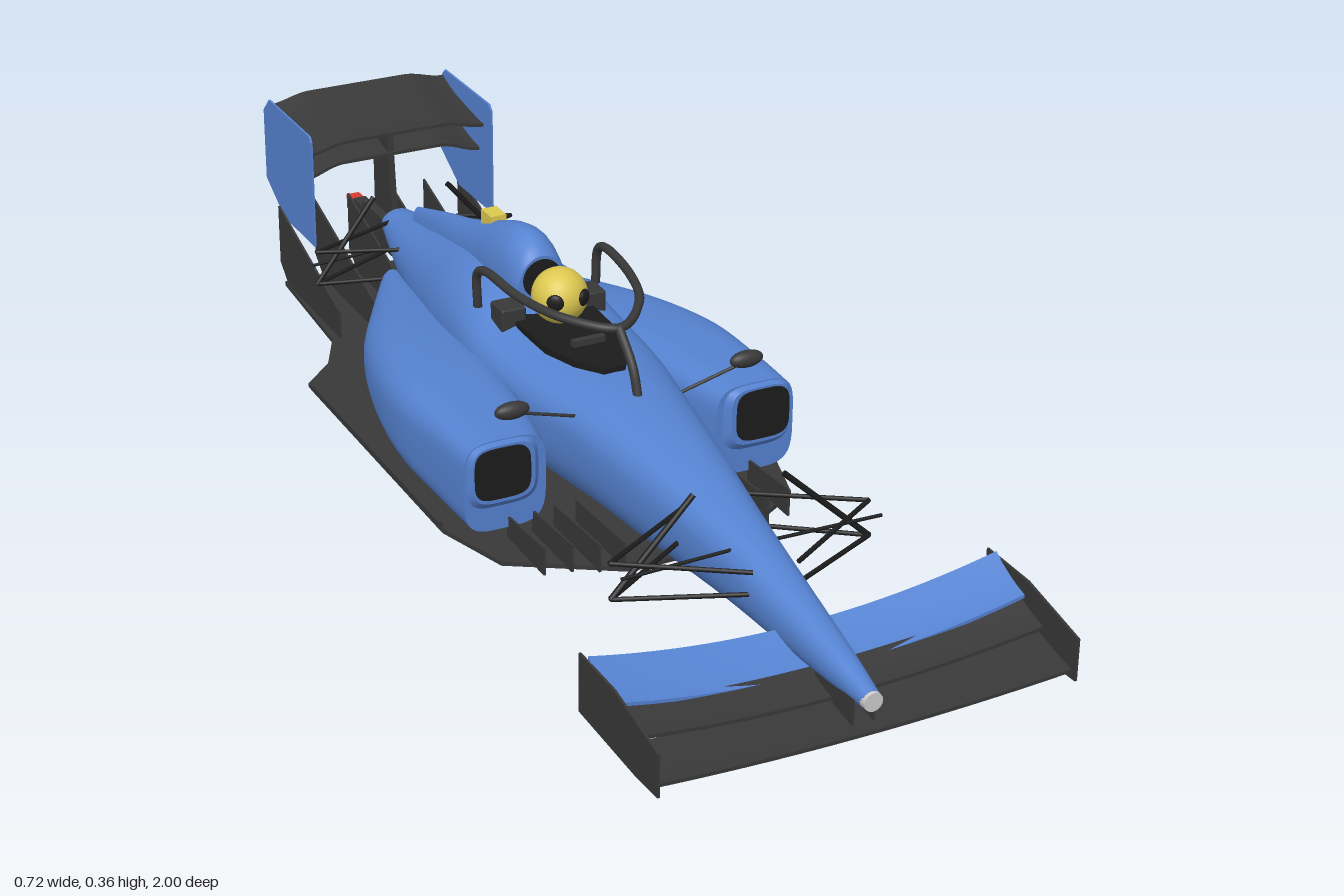
import * as THREE from 'three';
import { RoundedBoxGeometry } from 'three/addons/geometries/RoundedBoxGeometry.js';

const mat = (color) => new THREE.MeshStandardMaterial({ color, side: THREE.DoubleSide });
const blue = mat(0x5582d0), dark = mat(0x383838), black = mat(0x1c1c1c);
const yellow = mat(0xdcc850), red = mat(0xd83c34), grey = mat(0xcccccc);

// Loft through rows [z, centreX, halfWidth, yBottom, yWidest, yTop, exponent], front to back
function loft(rows, steps = 60, n = 40) {
  const curves = rows[0].map((_, k) => new THREE.SplineCurve(rows.map((r) => new THREE.Vector2(r[k], 0))));
  const pos = [], idx = [];
  const pow = (v, e) => Math.sign(v) * Math.abs(v) ** (2 / e);
  const ring = (t) => {
    const [z, x, w, yb, ym, yt, e] = curves.map((c) => c.getPoint(t).x);
    for (let i = 0; i < n; i++) {
      const a = (i / n) * Math.PI * 2, s = pow(Math.sin(a), e);
      pos.push(x + w * pow(Math.cos(a), e), ym + s * (s > 0 ? yt - ym : ym - yb), z);
    }
    return [x, ym, z];
  };
  for (let k = 0; k <= steps; k++) ring(k / steps);
  for (let k = 0; k < steps; k++) for (let i = 0; i < n; i++) {
    const a = k * n + i, c = k * n + (i + 1) % n;
    idx.push(a, a + n, c, a + n, c + n, c);
  }
  for (const t of [0, 1]) { // end caps: a ring, then its centre
    const s = pos.length / 3;
    const centre = ring(t);
    pos.push(...centre);
    for (let i = 0; i < n; i++) {
      const a = s + i, b = s + (i + 1) % n;
      if (t) idx.push(s + n, b, a);
      else idx.push(s + n, a, b);
    }
  }
  const g = new THREE.BufferGeometry();
  g.setAttribute('position', new THREE.Float32BufferAttribute(pos, 3));
  g.setIndex(idx);
  g.computeVertexNormals();
  return g;
}

const outline = (pts) => new THREE.Shape(pts.map((p) => new THREE.Vector2(...p)));
// Horizontal plate from [x, z] corners
const plate = (pts, top, depth) =>
  new THREE.ExtrudeGeometry(outline(pts), { depth, bevelEnabled: false }).rotateX(Math.PI / 2).translate(0, top, 0);
// Vertical panel from [z, y] corners
const panel = (pts, x, t = 0.004) =>
  new THREE.ExtrudeGeometry(outline(pts), { depth: t, bevelEnabled: false }).rotateY(-Math.PI / 2).translate(x + t / 2, 0, 0);
const mirrorPts = (pts) => [...pts, ...pts.map(([x, z]) => [-x, z]).reverse()];
const box = (w, h, d, x, y, z) => new THREE.BoxGeometry(w, h, d).translate(x, y, z);
const rod = (a, b, r = 0.004) =>
  new THREE.TubeGeometry(new THREE.LineCurve3(new THREE.Vector3(...a), new THREE.Vector3(...b)), 1, r, 8);
const tube = (pts, steps) =>
  new THREE.TubeGeometry(new THREE.CatmullRomCurve3(pts.map((p) => new THREE.Vector3(...p))), steps, 0.008, 10);

// Wing element between front and rear edges, bent across the span by a rule
function wing(span, zF, yF, zR, yR, bend) {
  const g = new THREE.BoxGeometry(span, 0.006, zF - zR, 32, 1, 8);
  const p = g.attributes.position;
  for (let i = 0; i < p.count; i++) {
    const t = THREE.MathUtils.clamp(0.5 - p.getZ(i) / (zF - zR), 0, 1);
    p.setY(i, p.getY(i) + yF + (yR - yF) * t ** 1.4 + bend(Math.abs(p.getX(i)) / (span / 2)));
    p.setZ(i, zF + (zR - zF) * t);
  }
  g.computeVertexNormals();
  return g;
}

export function createModel() {
  const car = new THREE.Group();
  const add = (name, geo, m) => {
    const mesh = new THREE.Mesh(geo, m);
    mesh.name = name;
    car.add(mesh);
  };

  // Nose, chassis and tail
  add('body', loft([
    [0.99, 0, 0.016, 0.058, 0.075, 0.092, 2], [0.9, 0, 0.027, 0.052, 0.085, 0.115, 2.1],
    [0.75, 0, 0.042, 0.047, 0.1, 0.148, 2.2], [0.6, 0, 0.056, 0.042, 0.12, 0.18, 2.3],
    [0.4, 0, 0.083, 0.032, 0.14, 0.215, 2.4], [0.22, 0, 0.108, 0.024, 0.16, 0.235, 2.4],
    [0.08, 0, 0.132, 0.02, 0.165, 0.238, 2.5], [-0.08, 0, 0.145, 0.02, 0.165, 0.245, 2.5],
    [-0.2, 0, 0.142, 0.02, 0.16, 0.28, 2.3], [-0.32, 0, 0.128, 0.022, 0.15, 0.278, 2.1],
    [-0.46, 0, 0.1, 0.03, 0.14, 0.245, 2], [-0.62, 0, 0.068, 0.06, 0.14, 0.205, 2],
    [-0.77, 0, 0.034, 0.12, 0.15, 0.175, 2]], 90), blue);
  add('noseTip', new THREE.CylinderGeometry(0.016, 0.017, 0.012, 16).rotateX(Math.PI / 2).translate(0, 0.075, 0.99), grey);

  // Air intake and engine cover spine
  add('engineCover', loft([
    [-0.13, 0, 0.044, 0.2, 0.28, 0.335, 2], [-0.15, 0, 0.05, 0.2, 0.28, 0.352, 2],
    [-0.19, 0, 0.054, 0.2, 0.28, 0.365, 2], [-0.25, 0, 0.054, 0.2, 0.27, 0.354, 2],
    [-0.34, 0, 0.046, 0.19, 0.25, 0.32, 2], [-0.43, 0, 0.036, 0.18, 0.23, 0.287, 2],
    [-0.53, 0, 0.026, 0.16, 0.2, 0.26, 2], [-0.67, 0, 0.014, 0.13, 0.17, 0.218, 2]], 50, 28), blue);
  add('airIntake', new THREE.CylinderGeometry(0.036, 0.036, 0.006, 28).rotateX(Math.PI / 2).translate(0, 0.293, -0.13), black);
  add('cameraBox', box(0.03, 0.03, 0.042, 0, 0.326, -0.328), yellow);

  // Cockpit, driver helmet and head protection
  add('cockpitOpening', plate(mirrorPts([[0.02, 0.15], [0.05, 0.1], [0.07, 0.03], [0.075, -0.11]]), 0.247, 0.03), black);
  add('helmet', new THREE.SphereGeometry(0.049, 32, 24).translate(0, 0.291, -0.06), yellow);
  add('steeringWheel', box(0.06, 0.02, 0.012, 0, 0.248, 0.05), dark);
  const haloSide = [[0.113, 0.255, -0.15], [0.115, 0.318, -0.146], [0.114, 0.334, -0.12], [0.104, 0.333, 0], [0.07, 0.33, 0.1]];
  add('haloRing', tube([...haloSide, [0, 0.325, 0.165], ...haloSide.map(([x, y, z]) => [-x, y, z]).reverse()], 80), dark);
  add('haloPillar', tube([[0, 0.228, 0.235], [0, 0.275, 0.215], [0, 0.325, 0.165]], 16), dark);

  // Floor
  add('floor', plate(mirrorPts([[0.09, 0.39], [0.27, 0.28], [0.312, 0.14], [0.312, -0.46],
    [0.25, -0.52], [0.205, -0.61], [0.19, -0.89]]), 0.011, 0.008), dark);

  for (const s of [1, -1]) {
    // Sidepods with dark inlets
    add('sidepod', loft([
      [0.215, s * 0.232, 0.074, 0.032, 0.12, 0.197, 4], [0.1, s * 0.222, 0.09, 0.028, 0.12, 0.2, 3.6],
      [-0.05, s * 0.21, 0.105, 0.026, 0.115, 0.198, 3.2], [-0.2, s * 0.185, 0.107, 0.026, 0.105, 0.186, 2.8],
      [-0.36, s * 0.145, 0.098, 0.026, 0.09, 0.165, 2.5], [-0.5, s * 0.105, 0.068, 0.028, 0.08, 0.14, 2.3],
      [-0.64, s * 0.07, 0.025, 0.035, 0.075, 0.115, 2]]), blue);
    add('sidepodLip', loft([
      [0.226, s * 0.238, 0.056, 0.088, 0.14, 0.192, 4], [0.21, s * 0.235, 0.068, 0.07, 0.135, 0.196, 4]], 4), blue);
    add('sidepodInlet', loft([
      [0.229, s * 0.241, 0.05, 0.096, 0.14, 0.188, 4], [0.21, s * 0.241, 0.05, 0.096, 0.14, 0.188, 4]], 2), black);
    add('floorEdge', box(0.008, 0.012, 0.56, s * 0.316, 0.02, -0.14), dark);

    // Deflector fins ahead of the sidepods
    for (const [x, z] of [[0.1, 0.39], [0.14, 0.38], [0.18, 0.36], [0.225, 0.35]])
      add('deflectorFin', panel([[z, 0.01], [z, 0.06], [0.21, 0.05], [0.21, 0.01]], s * x), dark);

    // Mirrors, headrest pads and visor
    add('mirror', new THREE.SphereGeometry(1, 24, 16).scale(0.031, 0.015, 0.014).translate(s * 0.216, 0.242, 0.21), dark);
    add('mirrorStalk', rod([s * 0.095, 0.2, 0.2], [s * 0.2, 0.234, 0.21], 0.003), dark);
    add('headrest', new RoundedBoxGeometry(0.046, 0.042, 0.05, 2, 0.004).translate(s * 0.076, 0.25, -0.105), dark);
    add('visorPatch', new THREE.SphereGeometry(0.015, 16, 12).scale(1, 1, 0.45).rotateY(s * 0.62)
      .translate(s * 0.027, 0.297, -0.021), black);

    // Front suspension
    const hubU = [s * 0.23, 0.157, 0.59], hubL = [s * 0.23, 0.096, 0.595];
    for (const z of [0.49, 0.7]) {
      add('frontUpperArm', rod(hubU, [s * 0.04, z < 0.6 ? 0.167 : 0.15, z]), black);
      add('frontLowerArm', rod(hubL, [s * 0.04, 0.112, z]), black);
    }
    add('frontPushrod', rod(hubL, [s * 0.08, 0.235, 0.578], 0.005), black);
    add('steeringRod', rod([s * 0.23, 0.15, 0.63], [0, 0.155, 0.63], 0.003), black);

    // Rear suspension
    const rearU = [s * 0.2, 0.155, -0.69], rearL = [s * 0.2, 0.09, -0.69];
    for (const z of [-0.6, -0.74]) {
      add('rearUpperArm', rod(rearU, [s * 0.03, 0.165, z]), black);
      add('rearLowerArm', rod(rearL, [s * 0.03, 0.11, z]), black);
    }
    add('rearPushrod', rod(rearL, [s * 0.075, 0.238, -0.705], 0.005), black);
    add('rearTrackRod', rod([s * 0.2, 0.12, -0.71], [0, 0.13, -0.71], 0.003), black);

    // Diffuser fins
    for (const x of [0.045, 0.115, 0.188])
      add('diffuserFin', panel([[-0.61, 0.011], [-0.61, 0.065], [-0.91, 0.162], [-0.91, 0.045], [-0.87, 0.011]], s * x), dark);

    // Wing end plates
    add('frontEndPlate', panel([[1, 0.016], [1, 0.09], [0.86, 0.118], [0.745, 0.118], [0.745, 0.016], [0.93, 0.012]], s * 0.356), dark);
    add('rearEndPlate', panel([[-0.735, 0.145], [-0.735, 0.355], [-0.745, 0.365], [-0.95, 0.365], [-0.98, 0.335],
      [-0.98, 0.195], [-0.89, 0.145]], s * 0.183), blue);
    add('frontWingPylon', panel([[0.97, 0.025], [0.97, 0.07], [0.86, 0.07], [0.86, 0.04]], s * 0.018), dark);
  }

  // Front wing
  add('frontWingMain', wing(0.71, 0.99, 0.018, 0.9, 0.034, (u) => 0.012 * u * u), dark);
  add('frontWingMiddle', wing(0.71, 0.91, 0.038, 0.845, 0.055, (u) => 0.024 * u * u), dark);
  add('frontWingFlap', wing(0.71, 0.855, 0.05, 0.77, 0.083, (u) => 0.039 * u * u), blue);

  // Rear wing
  const droop = (u) => -0.015 * THREE.MathUtils.smoothstep(u, 0.55, 1);
  add('rearWingMain', wing(0.362, -0.77, 0.329, -0.885, 0.343, droop), dark);
  add('rearWingFlap', wing(0.362, -0.88, 0.342, -0.96, 0.363, droop), dark);
  add('beamWing', wing(0.362, -0.79, 0.28, -0.9, 0.302, (u) => 1.4 * droop(u)), dark);
  add('rearWingPylon', panel([[-0.78, 0.11], [-0.8, 0.33], [-0.87, 0.34], [-0.87, 0.11]], 0, 0.012), dark);

  // Gearbox tail and rear light
  add('gearbox', box(0.05, 0.06, 0.16, 0, 0.12, -0.81), dark);
  add('crashStructure', box(0.026, 0.034, 0.09, 0, 0.107, -0.92), dark);
  add('rearLight', box(0.026, 0.028, 0.038, 0, 0.105, -0.981), red);

  return car;
}
